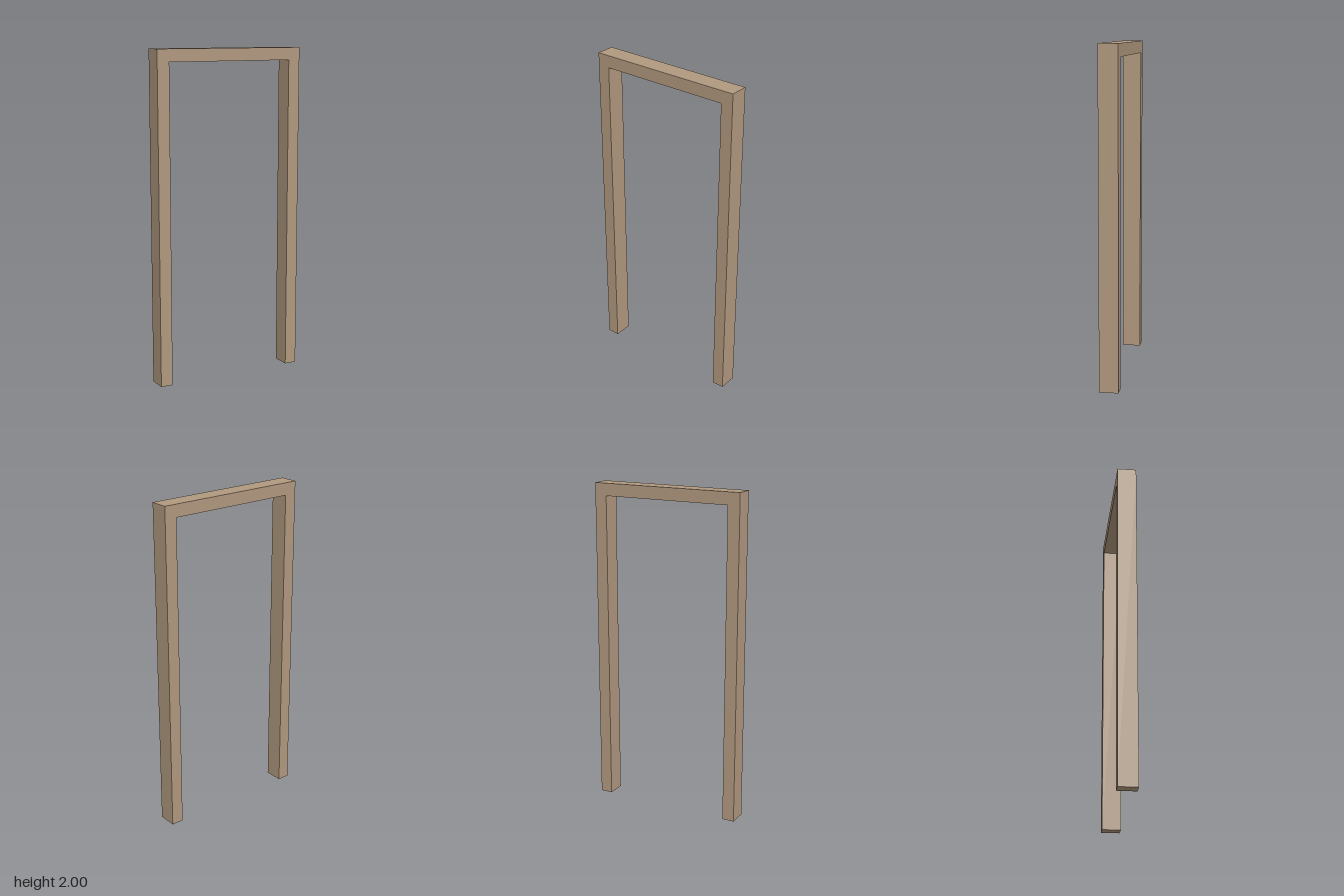
import * as THREE from 'three';

const HALF_WIDTH = 0.475, HEIGHT = 2, DEPTH = 0.114, THICKNESS = 0.075;

export function createModel() {
  const group = new THREE.Group();
  group.name = 'doorFrame';

  // Both jambs and the head as one continuous U-shaped outline
  const inner = HALF_WIDTH - THICKNESS, underside = HEIGHT - THICKNESS;
  const outline = new THREE.Shape([
    [-HALF_WIDTH, 0], [-inner, 0], [-inner, underside], [inner, underside],
    [inner, 0], [HALF_WIDTH, 0], [HALF_WIDTH, HEIGHT], [-HALF_WIDTH, HEIGHT],
  ].map(([x, y]) => new THREE.Vector2(x, y)));

  const geometry = new THREE.ExtrudeGeometry(outline, { depth: DEPTH, bevelEnabled: false });
  geometry.translate(0, 0, -DEPTH / 2);

  const frame = new THREE.Mesh(geometry, new THREE.MeshStandardMaterial({ color: 0xb0987e }));
  frame.name = 'jambsAndHead';
  group.add(frame);
  return group;
}
